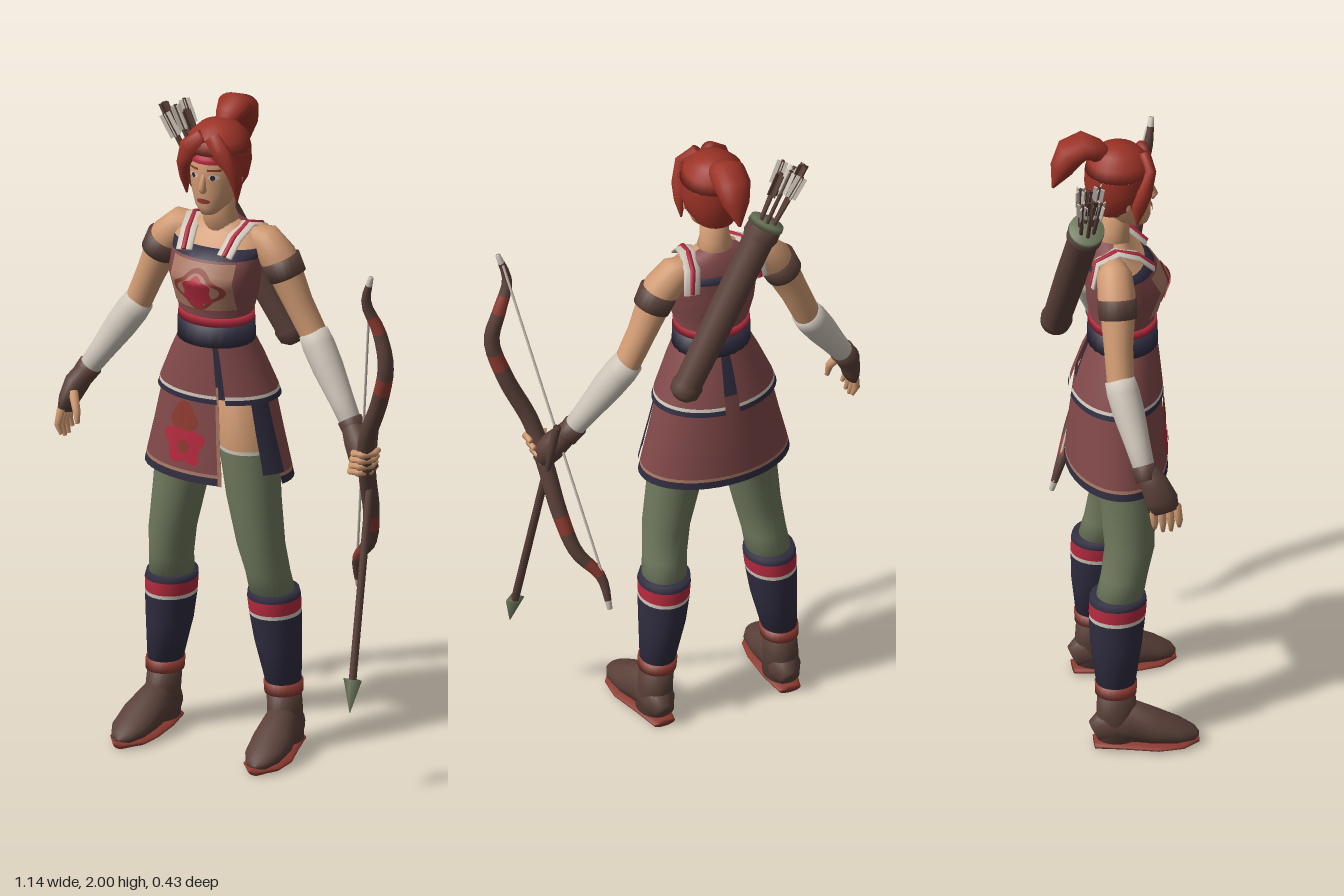
import * as THREE from 'three';

const CX = -0.075; // the body's own centre line
const M = {};
const colours = {
  skin: 0xd09a72, hair: 0x9c3327, cream: 0xcfc6ba, maroon: 0x82494a, navy: 0x302d40,
  sage: 0x6f795d, leather: 0x5a4039, crimson: 0xb42a3e, tan: 0xa97864, rust: 0x8c3a30,
};
for (const [name, color] of Object.entries(colours)) {
  M[name] = new THREE.MeshStandardMaterial({ color, side: THREE.DoubleSide });
  M[name].name = name;
}

const V = (x, y, z) => new THREE.Vector3(x, y, z);

// Skin over elliptical rings [x, y, z, ru, rw]; mat may be a list, one per band.
// With flat rings listed from the top down, 0 deg is +x and 90 deg is the front.
function loft(name, rings, mat, { flat = false, arc = null, n = 24 } = {}) {
  const pos = [], idx = [], geo = new THREE.BufferGeometry();
  const C = rings.map(r => V(r[0], r[1], r[2]));
  const cols = arc ? n + 1 : n, [a0, a1] = arc || [0, 360];
  const last = rings.length - 1;
  rings.forEach((r, i) => {
    const t = flat ? V(0, -1, 0) : C[Math.min(i + 1, last)].clone().sub(C[Math.max(i - 1, 0)]).normalize();
    const u = V(1, 0, 0).addScaledVector(t, -t.x).normalize();
    const w = t.clone().cross(u);
    for (let j = 0; j < cols; j++) {
      const a = (a0 + (a1 - a0) * j / n) * Math.PI / 180;
      const p = C[i].clone().addScaledVector(u, r[3] * Math.cos(a)).addScaledVector(w, (r[4] ?? r[3]) * Math.sin(a));
      pos.push(p.x, p.y, p.z);
    }
  });
  const list = Array.isArray(mat) ? mat : null;
  for (let i = 0; i < last; i++) {
    for (let j = 0; j < n; j++) {
      const a = i * cols + j, b = i * cols + (j + 1) % cols;
      idx.push(a, b, b + cols, a, b + cols, a + cols);
    }
    if (list) geo.addGroup(i * n * 6, n * 6, i);
  }
  if (!arc) { // end caps
    const k = pos.length / 3, e = last * cols, start = idx.length;
    for (const c of [C[0], C[last]]) pos.push(c.x, c.y, c.z);
    for (let j = 0; j < n; j++) idx.push(k, (j + 1) % n, j);
    for (let j = 0; j < n; j++) idx.push(k + 1, e + j, e + (j + 1) % n);
    if (list) { geo.addGroup(start, n * 3, 0); geo.addGroup(start + n * 3, n * 3, last - 1); }
  }
  geo.setAttribute('position', new THREE.Float32BufferAttribute(pos, 3));
  geo.setIndex(idx);
  geo.computeVertexNormals();
  const mesh = new THREE.Mesh(geo, mat);
  mesh.name = name;
  return mesh;
}

// Lay a flat patch on the front of a flat loft
function drape(name, mat, geo, x, y, rings, lift = 0.005) {
  const p = geo.attributes.position;
  for (let i = 0; i < p.count; i++) {
    const px = p.getX(i) + x, py = p.getY(i) + y;
    let k = 0;
    while (k < rings.length - 2 && rings[k + 1][1] > py) k++;
    const A = rings[k], B = rings[k + 1], f = (A[1] - py) / (A[1] - B[1]);
    const [cx, , cz, rx, rz] = A.map((v, q) => v + (B[q] - v) * f);
    p.setXYZ(i, px, py, cz + rz * Math.sqrt(Math.max(0, 1 - ((px - cx) / rx) ** 2)) + lift);
  }
  geo.computeVertexNormals();
  const mesh = new THREE.Mesh(geo, mat);
  mesh.name = name;
  return mesh;
}
const plate = (w, h) => new THREE.PlaneGeometry(w, h, 10, 8);
function rosette(w, h, lobes, depth) {
  const g = new THREE.RingGeometry(0.001, 1, 40, 5), p = g.attributes.position;
  for (let i = 0; i < p.count; i++) {
    const s = 1 - depth + depth * Math.cos(lobes * (Math.atan2(p.getY(i), p.getX(i)) - Math.PI / 2));
    p.setXY(i, p.getX(i) * s * w, p.getY(i) * s * h);
  }
  return g;
}

// Straight round rod between two points
const rod = (name, mat, a, b, ra, rb = ra, n = 8) => loft(name, [[a.x, a.y, a.z, ra], [b.x, b.y, b.z, rb]], mat, { n });
const centred = rows => rows.map(([y, rx, rz, z]) => [CX, y, z, rx, rz]);

export function createModel() {
  const model = new THREE.Group();
  model.name = 'archer';
  const add = (...m) => model.add(...m);

  // Head and face
  const head = centred([[1.925, .04, .05, 0], [1.86, .076, .085, 0], [1.8, .076, .086, 0], [1.75, .068, .077, .006],
    [1.71, .05, .058, .024], [1.685, .024, .03, .044]]);
  add(loft('head', head, M.skin, { flat: true }));
  add(loft('neck', centred([[1.74, .042, .045, -.02], [1.67, .044, .045, -.025], [1.6, .07, .055, -.035]]), M.skin, { flat: true }));
  add(loft('nose', [[CX, 1.815, .082, .006], [CX, 1.775, .092, .012, .013], [CX, 1.763, .084, .01]], M.skin, { n: 10 }));
  add(drape('mouth', M.rust, rosette(.022, .008, 2, 0), CX, 1.732, head));
  add(drape('browBand', M.crimson, plate(.09, .025), CX, 1.862, head));
  for (const s of [-1, 1]) {
    add(drape('eyeWhite', M.cream, rosette(.016, .008, 2, 0), CX + s * .032, 1.81, head, .004));
    add(drape('iris', M.navy, rosette(.007, .008, 2, 0), CX + s * .031, 1.81, head, .007));
    add(drape('eyebrow', M.rust, plate(.036, .007), CX + s * .033, 1.832, head));
  }

  // Hair: crown, open-fronted back, fringe, side locks and ponytail
  add(loft('hairCrown', centred([[1.95, .02, .02, -.015], [1.94, .055, .06, -.014], [1.91, .086, .09, -.012], [1.875, .096, .1, -.01]]), M.hair, { flat: true }));
  add(loft('hairBack', centred([[1.875, .096, .1, -.01], [1.83, .097, .1, -.012], [1.78, .085, .088, -.016], [1.74, .058, .06, -.028]]), M.hair, { flat: true, arc: [140, 400] }));
  for (const s of [-1, 1]) {
    add(loft('fringe', [[CX + s * .015, 1.925, .06, .025, .02], [CX + s * .052, 1.885, .073, .034, .018], [CX + s * .08, 1.83, .05, .022, .026], [CX + s * .085, 1.78, .035, .015, .022], [CX + s * .082, 1.725, .03, .003]], M.hair, { n: 12 }));
    add(loft('ear', [[CX + s * .08, 1.82, .0, .008, .014], [CX + s * .08, 1.775, .005, .006, .008]], M.skin, { n: 10 }));
  }
  add(loft('ponytail', [[CX, 1.915, -.055, .03], [CX, 1.945, -.08, .042, .032], [CX, 1.962, -.115, .055, .038], [CX, 1.94, -.155, .055, .044], [CX, 1.89, -.18, .04, .034], [CX, 1.825, -.205, .004]], M.hair));

  // Upper body: bare front, covered back
  const chest = centred([[1.645, .05, .045, -.035], [1.615, .125, .06, -.04], [1.58, .142, .085, -.022], [1.55, .14, .1, -.008], [1.49, .14, .12, .01],
    [1.43, .13, .108, .002], [1.37, .112, .096, 0], [1.27, .113, .096, 0]]);
  add(loft('collar', chest.slice(0, 3), M.skin, { flat: true, arc: [0, 180] }));
  add(loft('upperBack', chest.slice(0, 3), M.maroon, { flat: true, arc: [180, 360] }));
  add(loft('tunic', chest.slice(2), [M.navy, ...Array(4).fill(M.maroon)], { flat: true }));
  add(drape('chestPanel', M.tan, plate(.2, .145), CX, 1.472, chest, .004));
  add(drape('chestRing', M.rust, rosette(.085, .066, 4, .12), CX, 1.465, chest, .007));
  add(drape('chestGround', M.tan, rosette(.068, .052, 4, .12), CX, 1.465, chest, .009));
  add(drape('chestEmblem', M.crimson, rosette(.05, .052, 6, .1), CX, 1.46, chest, .011));
  for (const s of [-1, 1]) {
    const strap = (lift, w) => [[.066, 1.565, .078], [.075, 1.61, .032], [.088, 1.637, -.03], [.1, 1.615, -.09], [.108, 1.54, -.105]]
      .map(([x, y, z]) => [CX + s * x, y + lift, z + (z > 0 ? lift : -lift), w, .007]);
    add(loft('strap', strap(0, .026), M.cream, { n: 12 }), loft('strapStripe', strap(.004, .008), M.crimson, { n: 8 }));
  }
  add(loft('sash', centred([[1.37, .115, .1, 0], [1.345, .116, .101, 0]]), M.crimson, { flat: true }));
  add(loft('belt', centred([[1.342, .117, .102, 0], [1.28, .118, .104, 0]]), M.navy, { flat: true }));

  // Peplum in two halves over a slit skirt
  const peplum = centred([[1.29, .113, .1, 0], [1.23, .142, .115, -.008], [1.135, .182, .134, -.018], [1.125, .185, .136, -.019], [1.11, .19, .138, -.02]]);
  for (const arc of [[72, 263], [277, 424]]) add(loft('peplum', peplum, [M.maroon, M.maroon, M.cream, M.navy], { flat: true, arc }));
  add(loft('underskirt', centred([[1.27, .11, .096, 0], [1.12, .168, .122, -.018]]), M.navy, { flat: true, arc: [0, 360] }));
  const skirt = centred([[1.16, .165, .122, -.016], [1.0, .2, .138, -.018], [.892, .226, .146, -.019], [.882, .228, .147, -.019], [.86, .233, .149, -.019]]);
  add(loft('skirt', skirt, [M.maroon, M.maroon, M.tan, M.navy], { flat: true, arc: [70, 375], n: 36 }));
  add(loft('skirtSide', skirt.map(r => [r[0], r[1] + (1.16 - r[1]) * .12, ...r.slice(2)]), M.navy, { flat: true, arc: [12, 36], n: 6 }));
  add(loft('skirtEdge', skirt.map(r => [r[0], r[1], r[2], r[3] + .004, r[4] + .004]), M.tan, { flat: true, arc: [70, 73], n: 2 }));
  add(drape('skirtEmblem', M.crimson, rosette(.075, .075, 5, .14), CX - .045, .975, skirt));
  add(drape('skirtEmblemTop', M.rust, rosette(.052, .05, 3, .12), CX - .045, 1.055, skirt, .007));
  add(drape('skirtEmblemHeart', M.rust, rosette(.024, .022, 5, .1), CX - .045, .965, skirt, .008));

  // Legs, tall socks and shoes
  for (const s of [-1, 1]) {
    const at = rows => rows.map(([x, ...r]) => [CX + s * x, ...r]);
    add(loft('leg', at([[.075, 1.14, -.02, .08, .1], [.1, .96, -.012, .086, .092], [.102, .95, -.012, .088, .094], [.12, .8, -.004, .08, .082], [.145, .65, -.002, .07, .073], [.158, .56, -.02, .065, .068], [.168, .47, -.04, .066, .07]]),
      [M.skin, M.cream, M.sage, M.sage, M.sage, M.sage], { flat: true }));
    add(loft('sock', at([[.166, .5, -.04, .074, .081], [.168, .48, -.04, .077, .085], [.17, .44, -.042, .075, .084], [.171, .428, -.043, .075, .083], [.178, .34, -.047, .068, .076], [.193, .215, -.05, .052, .058]]),
      [M.navy, M.crimson, M.cream, M.navy, M.navy], { flat: true }));
    add(loft('ankleTrim', at([[.193, .215, -.05, .057, .062], [.195, .18, -.05, .056, .061]]), M.rust, { flat: true }));
    add(loft('ankle', at([[.195, .185, -.05, .05, .055], [.2, .12, -.048, .05, .06], [.202, .03, -.045, .052, .064]]), M.leather, { flat: true }));
    add(loft('shoe', at([[.2, .05, -.113, .03, .035], [.2, .068, -.08, .048, .056], [.205, .08, -.01, .053, .068], [.215, .06, .06, .063, .05], [.22, .042, .13, .057, .032], [.222, .03, .175, .034, .018], [.222, .025, .188, .012, .008]]), M.leather));
    add(loft('sole', at([[.2, .013, -.115, .034, .012], [.203, .013, -.03, .051, .013], [.216, .013, .07, .066, .013], [.22, .013, .14, .058, .013], [.222, .013, .19, .02, .011]]), M.rust));
  }

  // Arms, sleeves and gloves
  const arm = (s, [ex, ey, ez], [wx, wy, wz]) => {
    const at = rows => rows.map(([x, ...r]) => [CX + s * x, ...r]);
    const mix = (f, r) => [ex + (wx - ex) * f, ey + (wy - ey) * f, ez + (wz - ez) * f, r];
    add(loft('upperArm', at([[.085, 1.598, -.045, .035], [.135, 1.588, -.045, .052], [.178, 1.545, -.045, .056], [.207, 1.49, -.046, .05], [.243, 1.41, -.05, .043], [ex, ey, ez, .04], mix(.15, .038)]), M.skin));
    add(loft('armBand', at([[.186, 1.54, -.045, .059], [.211, 1.488, -.046, .056]]), [M.leather]));
    add(loft('sleeve', at([mix(-.05, .044), mix(.1, .048), mix(.35, .046), mix(.7, .037), mix(1, .031)]), M.cream));
    add(loft('gloveCuff', at([mix(.93, .037), mix(1.1, .034)]), M.leather));
  };
  arm(-1, [.285, 1.31, -.05], [.425, 1.09, .0]);
  arm(1, [.295, 1.31, -.055], [.445, 1.08, .0]);
  add(loft('rightGlove', [[-.495, 1.1, 0, .03], [-.52, 1.055, .025, .036, .042], [-.535, 1.01, .042, .028, .048], [-.54, .975, .05, .022, .045]], M.leather));
  for (let i = 0; i < 4; i++) {
    const z = .015 + i * .024;
    add(loft('rightFinger', [[-.54, .99, z, .013], [-.548, .94, z + .006, .011], [-.535, .895 + Math.abs(i - 1.5) * .012, z + .008, .006]], M.skin, { n: 8 }));
  }
  add(loft('rightThumb', [[-.515, 1.04, .06, .016], [-.49, .99, .085, .012], [-.485, .955, .09, .007]], M.skin, { n: 8 }));
  add(loft('leftGlove', [[.365, 1.09, 0, .03], [.395, 1.045, .018, .04, .036], [.425, 1.005, .035, .045, .042], [.445, .965, .04, .03, .03]], M.leather));
  for (let i = 0; i < 4; i++) {
    const y = 1.04 - i * .023, x = .47 - i * .008, z = .075 - i * .008;
    add(loft('leftFinger', [[x - .055, y - .01, z + .005, .011], [x - .02, y - .004, z + .02, .013], [x + .012, y, z, .012], [x + .01, y, z - .03, .008]], M.skin, { n: 8 }));
  }

  // Bow with bound bands, and its string
  const path = new THREE.CatmullRomCurve3([[.525, 1.64, .18], [.502, 1.55, .165], [.535, 1.46, .148], [.558, 1.36, .15], [.525, 1.23, .125], [.462, 1.08, .085],
    [.438, .95, .035], [.42, .81, -.025], [.388, .69, -.075], [.328, .61, -.115], [.314, .51, -.148]].map(p => V(...p)));
  const N = 44, limb = [], bands = [];
  for (let i = 0; i <= N; i++) {
    const p = path.getPointAt(i / N), e = Math.abs(i / N - .5) * 2;
    limb.push([p.x, p.y, p.z, .026 - .018 * e ** 3]);
    if (i < N) bands.push(i === 0 || i === N - 1 ? M.cream : [5, 6, 12, 13, 32, 33, 38, 39].includes(i) ? M.rust : M.leather);
  }
  add(loft('bow', limb, bands, { n: 12 }));
  add(rod('bowString', M.cream, V(.515, 1.61, .165), V(.31, .54, -.142), .004));

  // Arrow held in the left hand
  const a0 = V(.432, 1.13, -.035), tip = V(.472, .27, .212), a1 = a0.clone().lerp(tip, .89);
  add(rod('heldArrow', M.leather, a0, a1, .012));
  add(loft('heldArrowhead', [[a1.x, a1.y, a1.z, .03, .022], [tip.x, tip.y, tip.z, .001]], M.sage, { n: 4 }));

  // Quiver across the back with its arrows
  const q0 = V(-.195, 1.745, -.125), q1 = V(.09, 1.245, -.172);
  const q = (f, r) => { const p = q0.clone().lerp(q1, f); return [p.x, p.y, p.z, r]; };
  add(loft('quiver', [q(0, .05), q(.07, .053), q(.1, .046), q(.5, .046), q(.93, .042), q(.95, .047), q(1, .044), q(1.03, .025)], M.leather));
  add(loft('quiverRim', [q(-.015, .052), q(.012, .054)], M.sage));
  for (let i = 0; i < 6; i++) {
    const a = i * Math.PI / 3, c = Math.cos(a), d = Math.sin(a);
    const base = V(-.19 + c * .02, 1.73 + c * .012, -.125 + d * .02);
    const end = V(-.28 + c * .036, 1.905 + c * .008 + (i % 2) * .025, -.125 + d * .032);
    const arrow = new THREE.Group();
    arrow.name = 'quiverArrow';
    arrow.position.copy(end);
    arrow.quaternion.setFromUnitVectors(V(0, 1, 0), end.clone().sub(base).normalize());
    add(rod('arrowShaft', M.leather, base, end, .006, .006, 6), arrow);
    for (let k = 0; k < 2; k++) {
      const vane = new THREE.Mesh(new THREE.BoxGeometry(.034, .075, .003), i % 3 ? M.cream : M.leather);
      vane.name = 'fletching';
      vane.position.y = -.04;
      vane.rotation.y = k * Math.PI / 2 + a;
      arrow.add(vane);
    }
  }
  return model;
}
